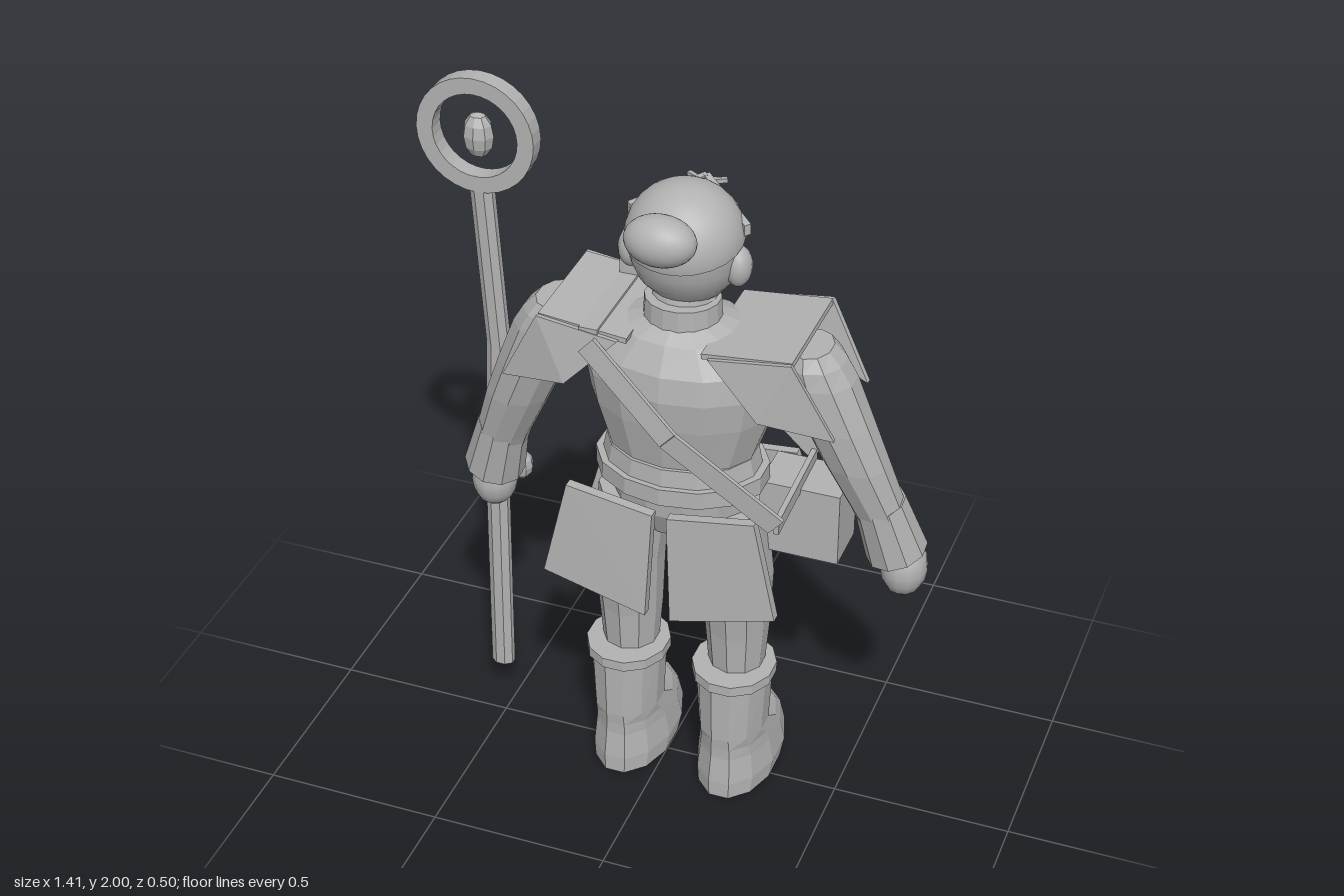
import * as THREE from 'three';
import { ConvexGeometry } from 'three/addons/geometries/ConvexGeometry.js';

const CX = 0.05; // the figure's own middle line
const V = (x, y, z) => new THREE.Vector3(x, y, z);

export function createModel() {
  const model = new THREE.Group();
  model.name = 'wanderer';
  const clay = new THREE.MeshStandardMaterial({ color: 0xb2b2b2 });

  function add(name, geo, flat = true) {
    let g = geo;
    if (flat) {
      g = g.index ? g.toNonIndexed() : g;
      g.computeVertexNormals();
    }
    const m = new THREE.Mesh(g, clay);
    m.name = name;
    model.add(m);
    return m;
  }

  // Elliptical rings [x, y, z, rx, rz] from bottom to top, skinned and capped
  function loft(name, rings, sides = 12, flat = true) {
    const pos = [], idx = [];
    for (const [x, y, z, rx, rz] of rings)
      for (let j = 0; j < sides; j++) {
        const t = (j + 0.5) / sides * Math.PI * 2;
        pos.push(x + Math.cos(t) * rx, y, z + Math.sin(t) * rz);
      }
    const last = (rings.length - 1) * sides;
    for (let i = 0; i < last; i += sides)
      for (let j = 0; j < sides; j++) {
        const a = i + j, b = i + (j + 1) % sides;
        idx.push(a, a + sides, b, b, a + sides, b + sides);
      }
    for (let j = 1; j < sides - 1; j++) {
      idx.push(0, j, j + 1);
      idx.push(last, last + j + 1, last + j);
    }
    const g = new THREE.BufferGeometry();
    g.setAttribute('position', new THREE.Float32BufferAttribute(pos, 3));
    g.setIndex(idx);
    g.computeVertexNormals();
    return add(name, g, flat);
  }

  // Flat board on four corners, given a thickness
  function slab(name, pts, t) {
    const p = pts.map(a => V(...a));
    const n = p[2].clone().sub(p[0]).cross(p[3].clone().sub(p[1])).normalize().multiplyScalar(t / 2);
    return add(name, new ConvexGeometry([...p.map(a => a.clone().add(n)), ...p.map(a => a.clone().sub(n))]));
  }

  function box(name, x, y, z, w, h, d, rz = 0, ry = 0, rx = 0) {
    const m = add(name, new THREE.BoxGeometry(w, h, d));
    m.position.set(x, y, z);
    m.rotation.set(rx, ry, rz);
    return m;
  }

  function ball(name, x, y, z, rx, ry, rz, w = 24, h = 16, flat = false) {
    const m = add(name, new THREE.SphereGeometry(1, w, h), flat);
    m.position.set(x, y, z);
    m.scale.set(rx, ry, rz);
    return m;
  }

  // Tapered cylinder from a to b
  function limb(name, a, b, ra, rb, sides = 10) {
    const p = V(...a), q = V(...b), d = q.clone().sub(p);
    const m = add(name, new THREE.CylinderGeometry(rb, ra, d.length(), sides));
    m.position.copy(p).add(q).multiplyScalar(0.5);
    m.quaternion.setFromUnitVectors(V(0, 1, 0), d.normalize());
    return m;
  }

  // Trunk
  loft('pelvis', [[CX, 0.85, 0.02, 0.13, 0.1], [CX, 0.93, 0.02, 0.19, 0.14], [CX, 1.03, 0.02, 0.2, 0.15]]);
  loft('torso', [
    [CX, 1.0, 0.02, 0.2, 0.15], [CX, 1.1, 0.02, 0.205, 0.15], [CX, 1.23, 0.01, 0.25, 0.185],
    [CX, 1.32, 0.01, 0.265, 0.195], [CX, 1.39, 0.01, 0.255, 0.185], [CX, 1.46, 0.015, 0.18, 0.14],
    [CX, 1.49, 0.02, 0.1, 0.09]], 14);
  loft('belt', [[CX, 1.0, 0.02, 0.235, 0.18], [CX, 1.05, 0.02, 0.235, 0.18]], 14);
  loft('sash', [[CX, 1.05, 0.02, 0.215, 0.165], [CX, 1.1, 0.02, 0.205, 0.16]], 14);
  box('buckle', CX, 1.035, -0.175, 0.09, 0.05, 0.035);
  loft('neck', [[CX, 1.42, 0.02, 0.09, 0.085], [CX, 1.58, 0.0, 0.085, 0.08]], 16, false);
  loft('collar', [[CX, 1.45, 0.022, 0.105, 0.098], [CX, 1.54, 0.022, 0.1, 0.094]], 16);

  // Head
  loft('head', [
    [CX, 1.53, -0.03, 0.055, 0.06], [CX, 1.55, -0.02, 0.095, 0.098], [CX, 1.59, -0.008, 0.125, 0.125],
    [CX, 1.64, 0.003, 0.142, 0.137], [CX, 1.71, 0.01, 0.148, 0.145], [CX, 1.77, 0.01, 0.135, 0.132],
    [CX, 1.82, 0.01, 0.09, 0.09], [CX, 1.84, 0.01, 0.04, 0.04]], 24, false);
  const hair = add('hair', new THREE.SphereGeometry(1, 24, 10, 0, Math.PI * 2, 0, Math.PI / 2), false);
  hair.position.set(CX, 1.705, 0.01);
  hair.scale.set(0.154, 0.147, 0.151);
  hair.rotation.x = 0.22;
  ball('hairBun', CX, 1.785, 0.187, 0.094, 0.066, 0.066);
  for (const s of [-1, 1]) {
    ball('ear', CX + s * 0.143, 1.645, 0.01, 0.035, 0.055, 0.042, 16, 12);
    // Headband halves meeting in a point over the brow
    slab('headband', [
      [CX + s * 0.158, 1.725, -0.01], [CX + s * 0.158, 1.755, -0.01],
      [CX, 1.8, -0.145], [CX, 1.77, -0.15]], 0.018);
    box('eyebrow', CX + s * 0.06, 1.72, -0.13, 0.06, 0.012, 0.02, s * 0.2, s * 0.35);
    box('eye', CX + s * 0.06, 1.68, -0.128, 0.055, 0.016, 0.02, 0, s * 0.4);
    box('whisker', CX + s * 0.04, 1.615, -0.128, 0.055, 0.01, 0.02, s * -0.3, s * 0.3);
  }
  add('nose', new ConvexGeometry([V(CX - 0.022, 1.63, -0.125), V(CX + 0.022, 1.63, -0.125),
    V(CX, 1.68, -0.128), V(CX, 1.635, -0.158)]));
  box('mouth', CX, 1.585, -0.13, 0.04, 0.03, 0.025);
  for (let i = -1; i <= 1; i++)
    box('headbandTie', CX + i * 0.03, 1.785, -0.145, 0.05, 0.012, 0.012, 0, i * 0.5);

  for (const s of [-1, 1]) {
    const X = d => CX + s * d;

    // Shoulder guard: a top board and a flap on each face
    slab('shoulderTop', [[X(0.1), 1.46, -0.165], [X(0.34), 1.485, -0.165],
      [X(0.34), 1.485, 0.165], [X(0.1), 1.46, 0.165]], 0.015);
    for (const f of [-1, 1])
      slab('shoulderFlap', [[X(0.12), 1.46, f * 0.17], [X(0.34), 1.49, f * 0.17],
        [X(0.45), 1.275, f * 0.145], [X(0.26), 1.315, f * 0.19]], 0.015);

    // Arm, cuff and hand
    loft('arm', [
      [X(0.57), 0.82, -0.055, 0.055, 0.05], [X(0.53), 0.98, -0.02, 0.075, 0.068],
      [X(0.47), 1.13, 0.005, 0.088, 0.08], [X(0.42), 1.25, 0.015, 0.095, 0.088],
      [X(0.365), 1.38, 0.02, 0.1, 0.095], [X(0.35), 1.43, 0.02, 0.085, 0.092],
      [X(0.345), 1.465, 0.02, 0.055, 0.075]], 10);
    limb('cuff', [X(0.575), 0.835, -0.05], [X(0.53), 1.0, -0.02], 0.084, 0.07);
    ball('hand', X(0.59), 0.765, -0.08, 0.064, 0.085, 0.07, 12, 8);
    ball('thumb', X(0.53), 0.785, -0.13, 0.032, 0.042, 0.036, 8, 6, true);

    // Leg and boot
    const lx = X(0.155);
    loft('leg', [[lx, 0.36, 0.005, 0.075, 0.078], [lx, 0.52, 0.005, 0.088, 0.092],
      [lx, 0.7, 0.015, 0.098, 0.108], [X(0.13), 0.93, 0.02, 0.1, 0.115]], 10);
    loft('boot', [
      [lx, 0, -0.035, 0.108, 0.185], [lx, 0.05, -0.05, 0.115, 0.2], [lx, 0.13, -0.04, 0.105, 0.18],
      [lx, 0.165, -0.02, 0.1, 0.16], [lx, 0.2, 0.022, 0.095, 0.12], [lx, 0.38, 0.025, 0.105, 0.118]], 12);
    loft('bootCuff', [[lx, 0.37, 0.025, 0.116, 0.126], [lx, 0.4, 0.025, 0.116, 0.126]], 12);

    // Skirt boards, back and front
    slab('backSkirt', [[X(0.02), 0.96, 0.185], [X(0.26), 1.0, 0.185],
      [X(0.325), 0.715, 0.195], [X(0.035), 0.64, 0.2]], 0.03);
    slab('frontSkirt', [[X(0.04), 0.98, -0.165], [X(0.26), 1.0, -0.165],
      [X(0.34), 0.72, -0.175], [X(0.26), 0.685, -0.175], [X(0.05), 0.72, -0.175]], 0.025);
  }

  // Belt pouch with two studs
  box('pouch', 0.37, 0.893, -0.07, 0.22, 0.215, 0.15);
  for (const x of [0.41, 0.45]) box('pouchStud', x, 0.93, -0.148, 0.02, 0.04, 0.016);

  // Shoulder strap across back and chest
  const strap = (pts, n) => {
    for (let i = 0; i < pts.length - 1; i++) {
      const [a, b] = [pts[i], pts[i + 1]];
      slab(n, [[a[0] - 0.02, a[1] - 0.022, a[2]], [a[0] + 0.02, a[1] + 0.022, a[2]],
        [b[0] + 0.02, b[1] + 0.022, b[2]], [b[0] - 0.02, b[1] - 0.022, b[2]]], 0.012);
    }
  };
  strap([[-0.15, 1.44, 0.185], [0.09, 1.24, 0.24], [0.37, 1.015, 0.2]], 'backStrap');
  strap([[-0.15, 1.46, -0.17], [0.09, 1.25, -0.185], [0.37, 1.02, -0.15]], 'chestStrap');
  slab('strapTop', [[-0.175, 1.475, -0.17], [-0.125, 1.475, -0.17],
    [-0.125, 1.475, 0.175], [-0.175, 1.475, 0.175]], 0.015);
  slab('strapSide', [[0.36, 0.99, -0.15], [0.36, 1.03, -0.15], [0.37, 1.03, 0.2], [0.37, 0.99, 0.2]], 0.015);
  box('strapClasp', -0.15, 1.5, -0.14, 0.05, 0.045, 0.06);

  // Staff with ring and gem
  const staff = [[-0.545, 0.1, -0.095], [-0.54, 0.7, -0.095], [-0.52, 1.2, -0.095], [-0.545, 1.72, -0.08]];
  loft('staff', staff.map(([x, y, z]) => [x, y, z, 0.034, 0.026]), 8);
  const ringShape = new THREE.Shape().absarc(0, 0, 0.163, 0, Math.PI * 2);
  ringShape.holes.push(new THREE.Path().absarc(0, 0, 0.118, 0, Math.PI * 2, true));
  const ring = add('staffRing', new THREE.ExtrudeGeometry(ringShape, { depth: 0.05, bevelEnabled: false, curveSegments: 16 }));
  ring.position.set(-0.547, 1.837, -0.105);
  ball('staffGem', -0.547, 1.83, -0.08, 0.043, 0.064, 0.036, 8, 6, true);

  return model;
}
